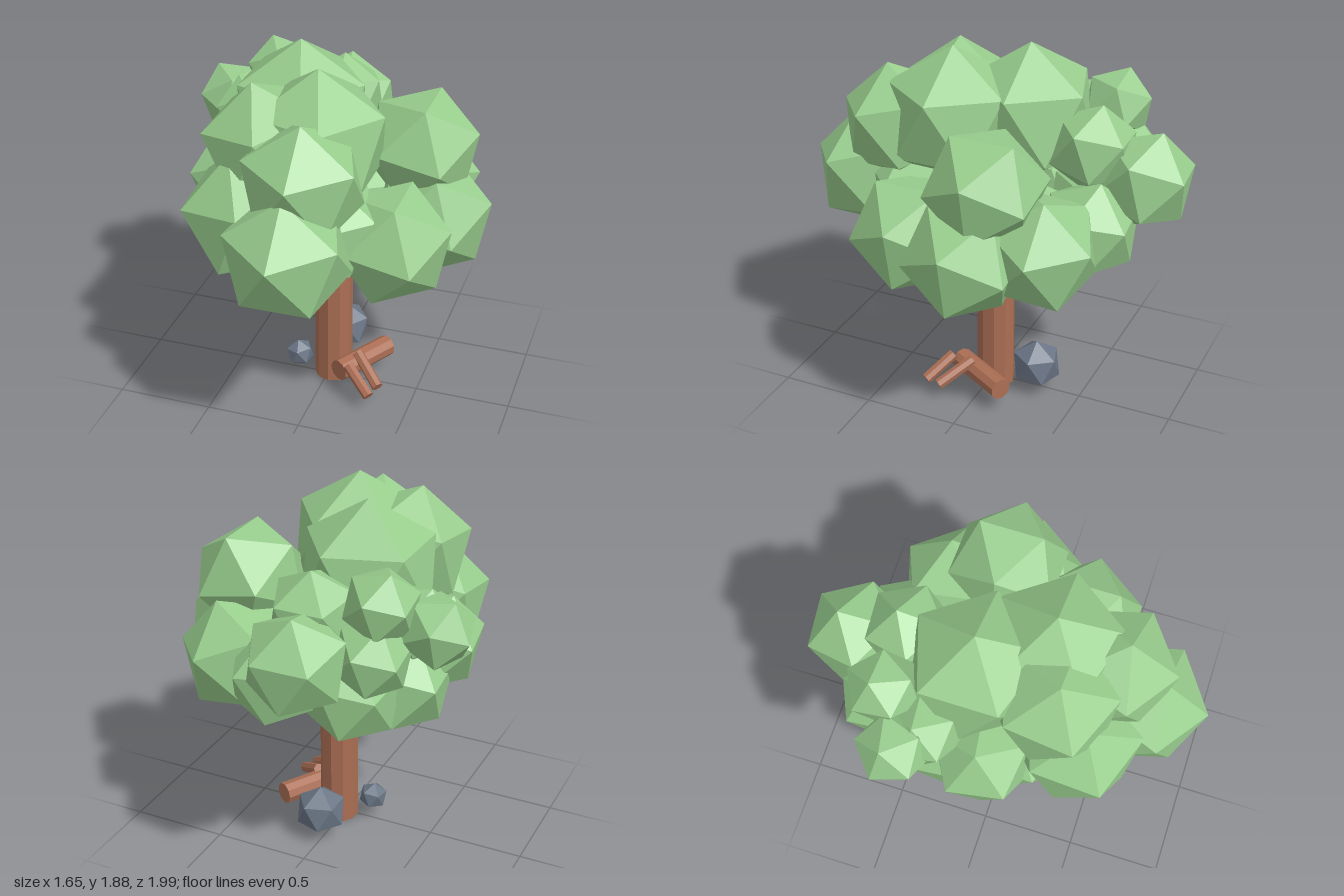
import * as THREE from 'three';

const material = (color) => new THREE.MeshStandardMaterial({ color, flatShading: true });

// Icosahedron poses: an edge on top, or turned until a corner is on top
const EDGE_UP = 0;
const CORNER_UP = 0.5536;

// Clumps (x, y, z, radius) that stand upright at the top
const CROWN = [
  [-0.18, 1.51, -0.12, 0.37],
  [0.02, 1.51, 0.21, 0.37],
];
// Clumps with an edge on top
const LEFT = [
  [0.44, 1.37, -0.16, 0.31],
  [0.525, 1.03, -0.09, 0.32],
  [0.41, 1.035, 0.255, 0.315],
];
// Clumps that lean away from the trunk
const FRONT = [
  [-0.22, 1.49, 0.28, 0.33],
  [0.04, 1.43, 0.5, 0.32],
  [0.02, 1.135, 0.675, 0.33],
  [-0.27, 1.17, 0.42, 0.34],
  [0.12, 1.13, 0.36, 0.28],
];
const BACK = [
  [0.38, 1.07, -0.42, 0.31],
  [-0.11, 1.29, -0.76, 0.265],
  [0.09, 1.08, -0.56, 0.26],
  [-0.07, 1.43, -0.5, 0.23],
];
const RIGHT = [
  [-0.65, 1.4, -0.38, 0.19],
  [-0.42, 1.53, -0.5, 0.19],
  [-0.51, 1.38, -0.28, 0.2],
  [-0.4, 1.28, -0.55, 0.2],
  [-0.48, 1.15, 0.0, 0.27],
  [-0.4, 1.0, -0.2, 0.27],
  [-0.25, 1.02, -0.45, 0.26],
];
const UNDERSIDE = [
  [-0.3, 1.01, 0.12, 0.28],
  [0.08, 1.02, -0.2, 0.27],
];

// Icosahedron in a pose, turned by yaw, then leaned forward and sideways
function facetedBall(name, [x, y, z, r], mat, pose, yaw, leanX, leanZ) {
  const geometry = new THREE.IcosahedronGeometry(r, 0);
  geometry.rotateZ(pose).rotateY(Math.PI / 2 + yaw).rotateX(leanX).rotateZ(leanZ);
  const mesh = new THREE.Mesh(geometry, mat);
  mesh.name = name;
  mesh.position.set(x, y, z);
  return mesh;
}

const leaningBall = (name, ball, mat) =>
  facetedBall(name, ball, mat, CORNER_UP, Math.abs(ball[0]), 0.38 * ball[2], -0.8 * ball[0]);

// Straight prism between two points
function log(name, from, to, radius, sides, mat) {
  const a = new THREE.Vector3(...from);
  const b = new THREE.Vector3(...to);
  const axis = b.clone().sub(a);
  const mesh = new THREE.Mesh(new THREE.CylinderGeometry(radius, radius, axis.length(), sides), mat);
  mesh.name = name;
  mesh.position.copy(a).add(b).multiplyScalar(0.5);
  mesh.quaternion.setFromUnitVectors(new THREE.Vector3(0, 1, 0), axis.normalize());
  return mesh;
}

export function createModel() {
  const tree = new THREE.Group();
  tree.name = 'tree';
  const leaf = material(0x98cd8d);
  const bark = material(0xab6e54);
  const stone = material(0x6b7686);

  // Foliage
  const addFoliage = (name, clumps, build) => {
    const foliage = new THREE.Group();
    foliage.name = name;
    clumps.forEach((clump) => foliage.add(build('leafClump', clump, leaf)));
    tree.add(foliage);
  };
  addFoliage('crownFoliage', CROWN, (...ball) => facetedBall(...ball, CORNER_UP, Math.PI / 10, 0, 0));
  addFoliage('leftFoliage', LEFT, (...ball) => facetedBall(...ball, EDGE_UP, 0, 0, -0.2));
  addFoliage('frontFoliage', FRONT, leaningBall);
  addFoliage('backFoliage', BACK, leaningBall);
  addFoliage('rightFoliage', RIGHT, leaningBall);
  addFoliage('undersideFoliage', UNDERSIDE, leaningBall);

  // Trunk
  tree.add(log('trunk', [0.025, 0, -0.024], [0.025, 1.15, -0.024], 0.1, 10, bark));

  // Fallen log with two sticks leaning on it
  const wood = new THREE.Group();
  wood.name = 'fallenWood';
  wood.add(
    log('fallenLog', [0.105, 0.128, 0.14], [0.285, 0.128, -0.17], 0.058, 9, bark),
    log('stick', [0.165, 0.185, 0.16], [0.305, 0.085, 0.255], 0.03, 7, bark),
    log('stick', [0.18, 0.19, 0.04], [0.33, 0.09, 0.17], 0.03, 7, bark),
  );
  tree.add(wood);

  // Rocks, the large one with a flattened base
  const largeRock = facetedBall('largeRock', [0.02, 0.155, -0.26, 0.137], stone, CORNER_UP, Math.PI / 10, 0, 0);
  const corners = largeRock.geometry.attributes.position;
  for (let i = 0; i < corners.count; i++) corners.setY(i, Math.max(corners.getY(i), -0.075));
  tree.add(largeRock, leaningBall('smallRock', [-0.15, 0.12, 0.03, 0.077], stone));
  return tree;
}
